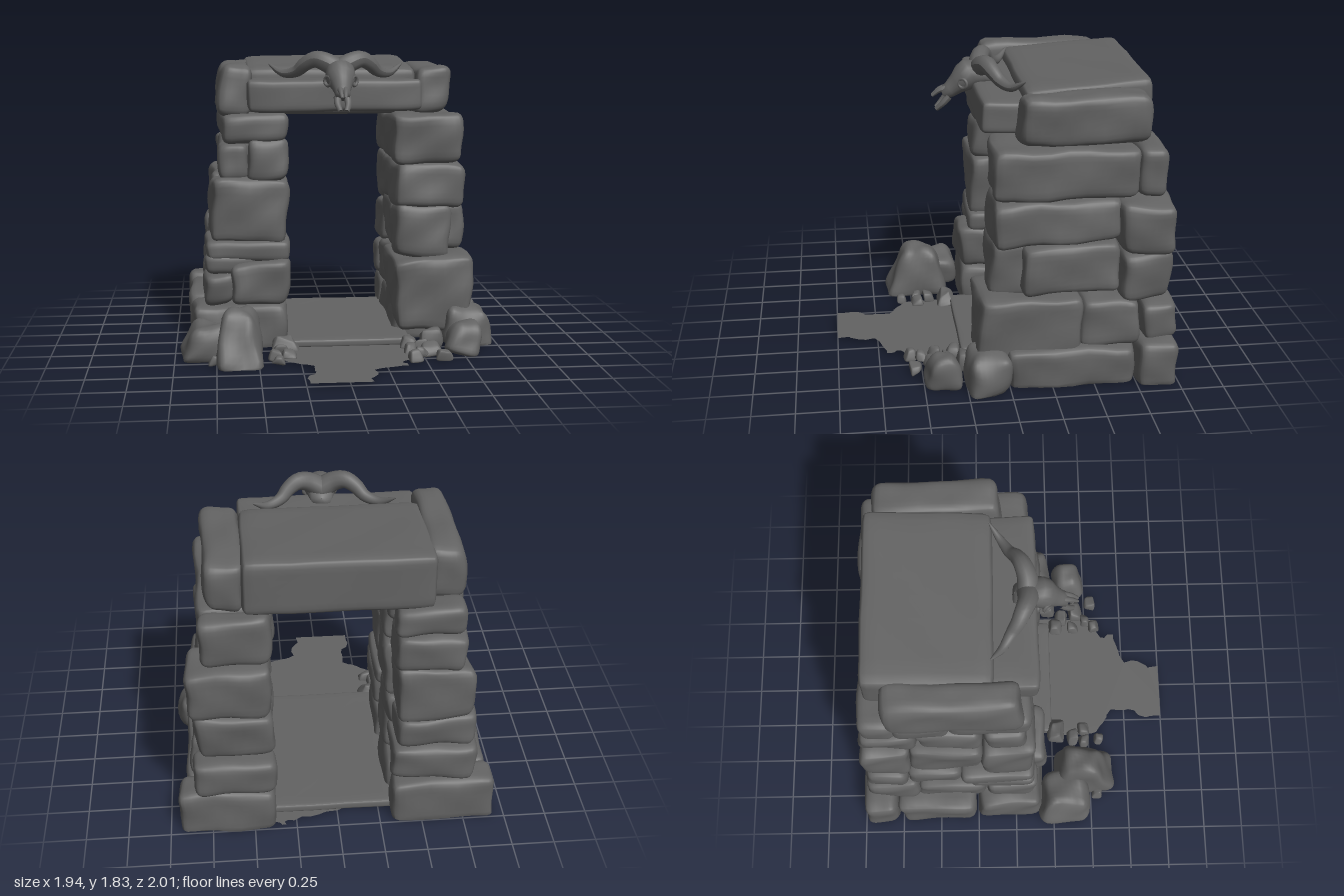
import * as THREE from 'three';
import { mergeVertices } from 'three/addons/utils/BufferGeometryUtils.js';

const rock = new THREE.MeshStandardMaterial({ color: 0x636363 });
rock.name = 'dark grey stone';
const sheet = rock.clone();
sheet.name = 'dark grey ground';
sheet.side = THREE.DoubleSide;

let seed = 7;
const rand = () => (seed = (seed * 16807) % 2147483647) / 2147483647;

function add(parent, name, geometry, material = rock) {
  const mesh = new THREE.Mesh(geometry, material);
  mesh.name = name;
  parent.add(mesh);
  return mesh;
}

// Rounded, skewed, weathered block inside the given bounds, cut flat at the ground.
// top: how much of the width is left at the top, and where the top leans to in x and z
function stone(parent, name, [x0, x1, y0, y1, z0, z1], skew = 0.3, round = 0.06, n = 12, top = [1, 0, 0]) {
  const geo = new THREE.BoxGeometry(2, 2, 2, n, n, n);
  geo.deleteAttribute('uv');
  geo.deleteAttribute('normal');
  const g = mergeVertices(geo, 1e-4);
  const half = new THREE.Vector3(x1 - x0, y1 - y0, z1 - z0).multiplyScalar(0.5);
  const mid = new THREE.Vector3(x0 + x1, y0 + y1, z0 + z1).multiplyScalar(0.5);
  const smallest = Math.min(half.x, half.y, half.z);
  const r = Math.min(round, smallest * 0.7);
  const inner = half.clone().subScalar(r);
  // each of the eight corners is pulled inwards by its own amount
  const reach = Math.min(smallest, 0.14) * skew;
  const corners = Array.from({ length: 8 }, () => [rand(), rand(), rand()].map((v) => v * v * reach));
  const phase = [rand() * 6, rand() * 6, rand() * 6];
  const f = 0.16 * reach;
  const p = new THREE.Vector3(), q = new THREE.Vector3(), pos = g.attributes.position;
  for (let i = 0; i < pos.count; i++) {
    p.fromBufferAttribute(pos, i);
    for (const a of ['x', 'y', 'z']) p[a] = Math.sin(p[a] * Math.PI / 2) * half[a];
    q.copy(p).clamp(inner.clone().negate(), inner);
    p.sub(q).setLength(r).add(q);
    const u = [p.x / half.x, p.y / half.y, p.z / half.z];
    const pull = [0, 0, 0];
    corners.forEach((c, k) => {
      const s = [k & 1 ? 1 : -1, k & 2 ? 1 : -1, k & 4 ? 1 : -1];
      const w = s.reduce((m, sign, j) => m * (1 + sign * u[j]) / 2, 1);
      for (let j = 0; j < 3; j++) pull[j] += w * c[j];
    });
    const { x, y, z } = p;
    p.x += -u[0] * pull[0] + f * (Math.sin(13 * y + 9 * z + phase[0]) + 0.5 * Math.sin(27 * y - 16 * z + phase[1]));
    p.y += -u[1] * pull[1] + f * (Math.sin(10 * x + 12 * z + phase[1]) + 0.5 * Math.sin(19 * z - 23 * x + phase[2]));
    p.z += -u[2] * pull[2] + f * (Math.sin(11 * x + 12 * y + phase[2]) + 0.5 * Math.sin(25 * y - 17 * x + phase[0]));
    const up = (u[1] + 1) / 2, shrink = 1 + (top[0] - 1) * up;
    p.x = p.x * shrink + top[1] * up;
    p.z = p.z * shrink + top[2] * up;
    p.add(mid);
    pos.setXYZ(i, p.x, Math.max(p.y, 0.01), p.z);
  }
  g.computeVertexNormals();
  return add(parent, name, g);
}

// Tapered tube along a curve; radius is a function of t
function taperedTube(points, radius, n = 28, m = 12) {
  const curve = new THREE.CatmullRomCurve3(points.map((a) => new THREE.Vector3(...a)));
  const g = new THREE.TubeGeometry(curve, n, 1, m);
  const pos = g.attributes.position, v = new THREE.Vector3();
  for (let i = 0; i < pos.count; i++) {
    const t = Math.floor(i / (m + 1)) / n, c = curve.getPointAt(t);
    v.fromBufferAttribute(pos, i).sub(c).multiplyScalar(radius(t)).add(c);
    pos.setXYZ(i, v.x, v.y, v.z);
  }
  g.computeVertexNormals();
  return g;
}

function horn(parent, side) {
  const path = [[0.0, 1.72, 0.08], [0.07, 1.765, 0.075], [0.14, 1.785, 0.05], [0.2, 1.755, 0.02],
    [0.25, 1.71, -0.02], [0.33, 1.695, -0.07], [0.42, 1.75, -0.14]];
  const pts = path.map(([x, y, z]) => [0.015 + side * x, y, z]);
  add(parent, 'horn', taperedTube(pts, (t) => 0.064 * Math.pow(1 - t, 0.7) + 0.002));
}

function buildSkull(parent) {
  const skull = new THREE.Group();
  skull.name = 'hornedSkull';
  parent.add(skull);
  // cross-sections: y, z, half width, half height, from neck to muzzle
  const rings = [[1.69, 0.0, 0.004, 0.004], [1.69, 0.01, 0.06, 0.06], [1.705, 0.07, 0.08, 0.085],
    [1.705, 0.13, 0.09, 0.095], [1.675, 0.18, 0.09, 0.085], [1.64, 0.22, 0.066, 0.064],
    [1.605, 0.26, 0.05, 0.05], [1.58, 0.3, 0.044, 0.04], [1.575, 0.305, 0.003, 0.003]];
  const m = 20, pos = [], index = [];
  rings.forEach(([y, z, w, h], r) => {
    for (let k = 0; k < m; k++) {
      const a = k / m * Math.PI * 2;
      pos.push(0.02 + w * Math.cos(a), y + h * Math.sin(a) * 0.85, z + h * Math.sin(a) * 0.5);
      if (r) {
        const b = r * m + k, c = r * m + (k + 1) % m;
        index.push(b - m, c - m, b, c - m, c, b);
      }
    }
  });
  const g = new THREE.BufferGeometry();
  g.setAttribute('position', new THREE.Float32BufferAttribute(pos, 3));
  g.setIndex(index);
  g.computeVertexNormals();
  add(skull, 'cranium', g);
  for (const s of [-1, 1]) {
    horn(skull, s);
    const orbit = add(skull, 'eyeSocketRim', new THREE.TorusGeometry(0.028, 0.01, 8, 18));
    orbit.position.set(0.02 + s * 0.08, 1.66, 0.19);
    orbit.rotation.y = s * 0.9;
    // upper and lower muzzle prongs leave the nose open
    add(skull, 'nasalBone', taperedTube([[0.02 + s * 0.014, 1.62, 0.27], [0.02 + s * 0.014, 1.605, 0.325],
      [0.02 + s * 0.01, 1.57, 0.37]], (t) => 0.023 - 0.014 * t, 8, 8));
    add(skull, 'jawProng', taperedTube([[0.02 + s * 0.028, 1.57, 0.27], [0.02 + s * 0.032, 1.53, 0.305],
      [0.02 + s * 0.018, 1.49, 0.345]], (t) => 0.025 - 0.01 * t, 8, 8));
  }
}

// Ragged dirt sheet running through the gate; outline points are x, z
function buildPath(parent) {
  const outline = [[-0.34, 0.25], [-0.35, 0.52], [-0.28, 0.6], [-0.18, 0.66], [-0.18, 0.78], [-0.24, 0.9],
    [-0.23, 1], [0.13, 1], [0.12, 0.93], [0.17, 0.85], [0.16, 0.77], [0.25, 0.73], [0.37, 0.7],
    [0.35, 0.61], [0.48, 0.57], [0.49, 0.25], [0.45, -0.4], [0.4, -0.95], [0.34, -0.99], [0.3, -0.95],
    [0.16, -0.93], [0, -0.89], [-0.13, -0.87], [-0.35, -0.82], [-0.4, -0.3]];
  const pts = [];
  outline.forEach(([x, z], i) => {
    const [x2, z2] = outline[(i + 1) % outline.length];
    pts.push(new THREE.Vector2(x, -z));
    const wobble = z === 1 ? 0 : 0.03;
    for (const t of [0.33, 0.67]) {
      pts.push(new THREE.Vector2(x + (x2 - x) * t + (rand() - 0.5) * wobble, -(z + (z2 - z) * t) + (rand() - 0.5) * wobble));
    }
  });
  const g = new THREE.ShapeGeometry(new THREE.Shape(pts)).rotateX(-Math.PI / 2).translate(0, 0.03, 0);
  add(parent, 'dirtPath', g, sheet);
}

export function createModel() {
  const model = new THREE.Group();
  model.name = 'stoneGate';

  // Pillar blocks: x0, x1, y0, y1, z0, z1
  const pillars = {
    rightPillar: [
      [-0.91, -0.29, -0.05, 0.28, -0.26, 0.18], [-0.93, -0.3, -0.05, 0.28, -0.78, -0.25], [-0.95, -0.32, -0.05, 0.3, -1, -0.76],
      [-0.84, -0.62, 0.26, 0.48, -0.2, 0.14], [-0.67, -0.28, 0.26, 0.56, -0.2, 0.2],
      [-0.84, -0.3, 0.25, 0.51, -0.63, -0.18], [-0.84, -0.31, 0.26, 0.53, -0.98, -0.6],
      [-0.82, -0.28, 0.53, 0.68, -0.35, 0.13], [-0.82, -0.48, 0.45, 0.6, -0.3, 0.12],
      [-0.81, -0.3, 0.48, 0.71, -0.69, -0.33], [-0.82, -0.32, 0.5, 0.73, -0.97, -0.66],
      [-0.8, -0.28, 0.65, 1.06, -0.22, 0.12], [-0.79, -0.29, 0.67, 1.06, -0.67, -0.2], [-0.8, -0.31, 0.69, 1.07, -0.96, -0.64],
      [-0.73, -0.53, 1.03, 1.28, -0.2, 0.07], [-0.56, -0.29, 1.03, 1.32, -0.2, 0.1],
      [-0.73, -0.29, 1.03, 1.3, -0.61, -0.18], [-0.75, -0.31, 1.03, 1.28, -0.95, -0.58],
      [-0.72, -0.29, 1.26, 1.46, -0.41, 0.09], [-0.73, -0.29, 1.26, 1.47, -0.73, -0.38], [-0.74, -0.31, 1.25, 1.46, -0.93, -0.7],
    ],
    leftPillar: [
      [0.36, 0.91, -0.05, 0.26, -0.76, 0.02], [0.36, 0.95, -0.05, 0.29, -1, -0.73],
      [0.35, 0.87, 0.07, 0.58, -0.43, 0.2], [0.36, 0.87, 0.23, 0.55, -0.79, -0.41], [0.36, 0.87, 0.25, 0.51, -1, -0.77],
      [0.36, 0.74, 0.53, 0.89, -0.15, 0.12], [0.36, 0.85, 0.55, 0.89, -0.67, -0.06], [0.36, 0.84, 0.5, 0.82, -0.97, -0.65],
      [0.36, 0.81, 0.85, 1.14, -0.67, 0.11], [0.36, 0.87, 0.79, 1.14, -0.97, -0.64],
      [0.34, 0.8, 1.12, 1.46, -0.77, 0.09], [0.36, 0.79, 1.12, 1.44, -0.93, -0.74],
    ],
  };
  for (const [name, blocks] of Object.entries(pillars)) {
    const pillar = new THREE.Group();
    pillar.name = name;
    model.add(pillar);
    blocks.forEach((b) => stone(pillar, 'pillarStone', b));
  }

  // Lintel with a top rising to the back, its front ledge and the two shoulder stones
  const lintel = stone(model, 'lintel', [-0.55, 0.53, 1.43, 1.75, -0.88, -0.12], 0.08, 0.05);
  const lp = lintel.geometry.attributes.position;
  for (let i = 0; i < lp.count; i++) {
    if (lp.getY(i) > 1.6) lp.setY(i, lp.getY(i) - 0.07 * (lp.getZ(i) + 0.48));
  }
  lintel.geometry.computeVertexNormals();
  stone(model, 'lintelLedge', [-0.55, 0.53, 1.46, 1.67, -0.2, 0.14], 0.15, 0.04);
  stone(model, 'shoulderStone', [-0.74, -0.49, 1.42, 1.75, -0.78, 0.05], 0.3, 0.07, 12, [0.96, 0.01, 0]);
  stone(model, 'shoulderStone', [0.49, 0.76, 1.42, 1.75, -0.84, -0.05], 0.3, 0.07, 12, [0.97, 0, 0]);

  // Threshold and path
  stone(model, 'threshold', [-0.34, 0.45, 0.02, 0.075, -0.88, 0.25], 0.2, 0.02);
  buildPath(model);

  // Boulders at the foot of the pillars: bounds, then narrowing and lean of the top
  const boulders = [
    [[-0.99, -0.63, -0.04, 0.24, 0.13, 0.52], [0.75, 0.04, 0]],
    [[-0.79, -0.42, -0.04, 0.34, 0.23, 0.7], [0.55, 0, -0.04]],
    [[0.61, 0.91, -0.04, 0.21, 0.25, 0.52], [0.8, 0.02, 0]],
    [[0.63, 0.99, -0.04, 0.25, -0.04, 0.29], [0.85, 0.01, 0]],
  ];
  boulders.forEach(([b, top]) => stone(model, 'boulder', b, 0.5, 0.09, 12, top));

  // Pebbles: x, z, radius
  const pebbles = [[-0.33, 0.28, 0.1], [-0.37, 0.4, 0.07], [-0.32, 0.47, 0.06], [-0.4, 0.47, 0.06], [-0.38, 0.57, 0.05],
    [-0.76, 0.54, 0.06], [0.57, 0.23, 0.1], [0.42, 0.29, 0.07], [0.5, 0.35, 0.07], [0.42, 0.41, 0.06],
    [0.54, 0.43, 0.08], [0.47, 0.5, 0.06], [0.43, 0.56, 0.06], [0.61, 0.55, 0.07]];
  pebbles.forEach(([x, z, r]) => stone(model, 'pebble', [x - r, x + r, 0, 0.03 + r, z - r * 0.85, z + r * 0.85],
    0.8, 0.04, 6, [0.65, 0, 0]));

  buildSkull(model);
  return model;
}
